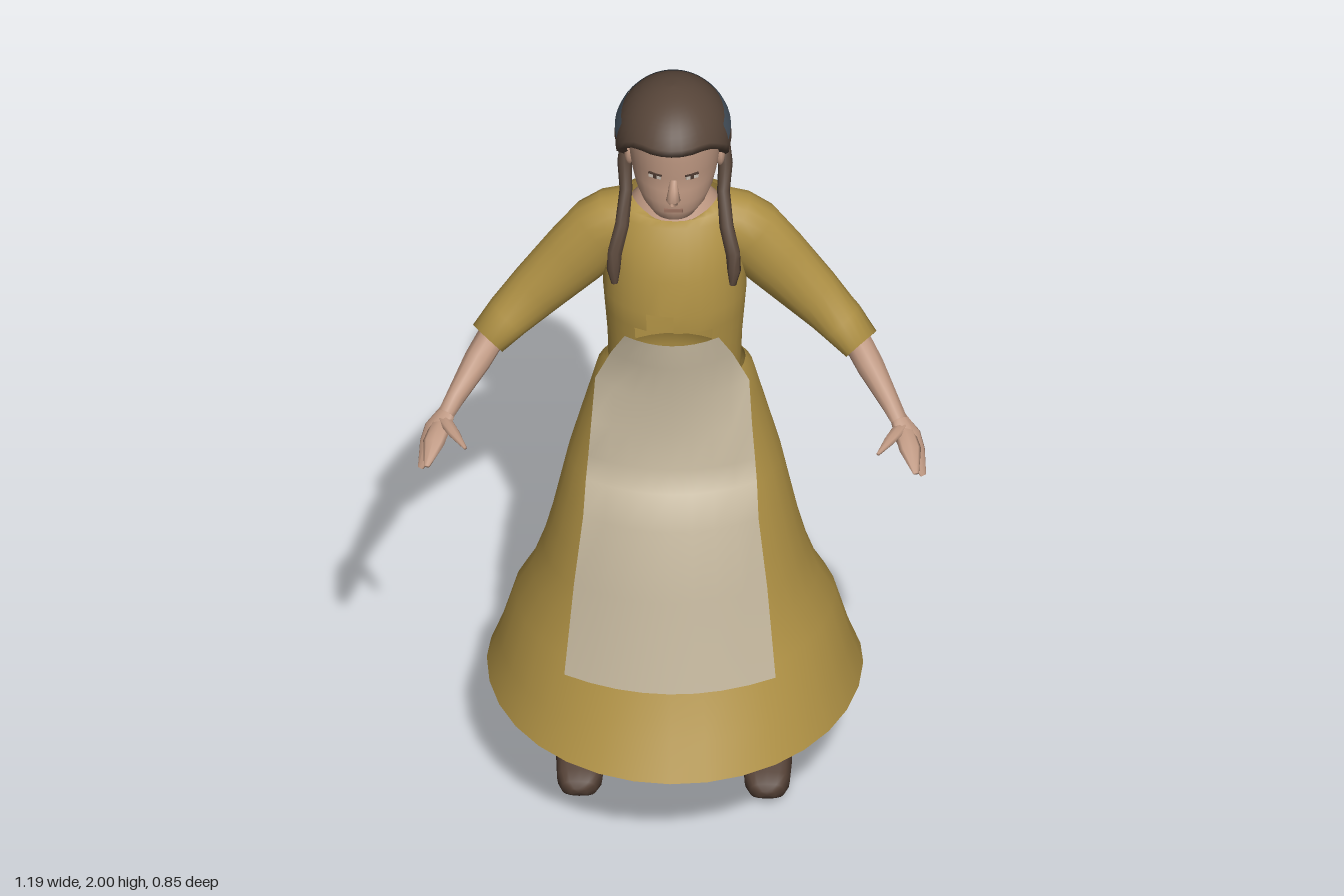
import * as THREE from 'three';

const mat = (name, color, side = THREE.FrontSide) => {
  const m = new THREE.MeshStandardMaterial({ color, side });
  m.name = name;
  return m;
};
const V = (x, y, z) => new THREE.Vector3(x, y, z);

// Smooth surface through a list of equal rings (or open rows) of points
function loft(rings, { closed = true, skip = () => false, caps = [] } = {}) {
  const n = rings[0].length, pos = [], idx = [];
  rings.forEach(r => r.forEach(p => pos.push(p.x, p.y, p.z)));
  for (let i = 0; i < rings.length - 1; i++) {
    for (let j = 0; j < (closed ? n : n - 1); j++) {
      if (skip(i, j)) continue;
      const k = (j + 1) % n;
      const a = i * n + j, b = i * n + k, c = a + n, d = b + n;
      idx.push(a, b, d, a, d, c);
    }
  }
  for (const end of caps) {
    const i = end === 'start' ? 0 : rings.length - 1;
    const c = rings[i].reduce((s, p) => s.add(p), V(0, 0, 0)).divideScalar(n);
    const m = pos.length / 3;
    pos.push(c.x, c.y, c.z);
    for (let j = 0; j < n; j++) {
      const a = i * n + j, b = i * n + (j + 1) % n;
      if (i) idx.push(a, b, m); else idx.push(b, a, m);
    }
  }
  const g = new THREE.BufferGeometry();
  g.setAttribute('position', new THREE.Float32BufferAttribute(pos, 3));
  g.setIndex(idx);
  g.computeVertexNormals();
  return g;
}

// Upright rings from rows of [y, half width, front z, back z, dip at front and back];
// shift moves the widest point towards the back
const COLS = 32;
const bodyRings = (rows, shift = 0) => rows.map(([y, rx, zf, zb, dip = 0]) => {
  const zm = (zf + zb) / 2 - shift * rx;
  return Array.from({ length: COLS }, (_, j) => {
    const a = j / COLS * Math.PI * 2, c = Math.cos(a);
    return V(rx * Math.sin(a), y - dip * c * c, zm + c * (c > 0 ? zf - zm : zm - zb));
  });
});

// Limb along stations of [x, y, z, side radius, other radius]; s mirrors it in x,
// a power below 1 makes the cross-section boxier
function limb(stations, s = 1, n = 12, power = 1, caps = ['start', 'end']) {
  const c = stations.map(p => V(p[0] * s, p[1], p[2]));
  const bend = w => Math.sign(w) * Math.abs(w) ** power;
  const rings = stations.map(([, , , r1, r2 = r1], i) => {
    const t = c[Math.min(i + 1, c.length - 1)].clone().sub(c[Math.max(i - 1, 0)]).normalize();
    const u = V(0, 1, 0).cross(t);
    if (u.length() < 0.05) u.set(1, 0, 0);
    u.normalize();
    const v = t.clone().cross(u);
    return Array.from({ length: n }, (_, j) => {
      const a = j / n * Math.PI * 2;
      return c[i].clone().addScaledVector(u, r1 * bend(Math.cos(a))).addScaledVector(v, r2 * bend(Math.sin(a)));
    });
  });
  return loft(rings, { caps });
}

export function createModel() {
  const model = new THREE.Group();
  const dress = mat('dress ochre', 0xae9044, THREE.DoubleSide);
  const linen = mat('apron linen', 0xc2b59c, THREE.DoubleSide);
  const skin = mat('skin', 0xbd9781);
  const hair = mat('hair brown', 0x574539, THREE.DoubleSide);
  const blue = mat('band blue', 0x47535f, THREE.DoubleSide);
  const leather = mat('shoe brown', 0x523f34);
  const dark = mat('eye dark', 0x4a382f);
  const white = mat('eye white', 0xc9bfb4);
  const lip = mat('lip', 0x98705f);
  const add = (name, geo, material) => {
    const m = new THREE.Mesh(geo, material);
    m.name = name;
    model.add(m);
    return m;
  };
  const fromFront = j => Math.min(j, COLS - 1 - j);

  // Skirt, open at the front behind the apron
  const skirtRows = [
    [0.277, 0.44, 0.43, -0.42], [0.36, 0.41, 0.38, -0.378], [0.48, 0.375, 0.31, -0.335],
    [0.56, 0.335, 0.278, -0.29], [0.64, 0.31, 0.25, -0.25], [0.72, 0.29, 0.225, -0.227],
    [0.82, 0.268, 0.2, -0.218], [0.9, 0.25, 0.17, -0.21], [1.0, 0.222, 0.14, -0.2],
    [1.1, 0.195, 0.125, -0.19], [1.15, 0.182, 0.115, -0.18], [1.18, 0.165, 0.1, -0.15]];
  add('skirt', loft(bodyRings(skirtRows, 0.12), {
    skip: (i, j) => (i >= 4 && fromFront(j) < (i >= 8 ? 4 : 3)) || (i === 3 && fromFront(j) < 2),
  }), dress);

  // Bodice, open under the apron and at the armholes, with a small gap above the apron
  const bodiceRows = [
    [1.17, 0.155, 0.09, -0.14], [1.27, 0.157, 0.1, -0.142], [1.36, 0.164, 0.11, -0.156],
    [1.41, 0.168, 0.112, -0.165], [1.5, 0.166, 0.1, -0.167], [1.57, 0.163, 0.075, -0.162],
    [1.62, 0.152, 0.045, -0.153], [1.645, 0.135, 0.035, -0.147, 0.01], [1.66, 0.104, 0.025, -0.137, 0.035]];
  add('bodice', loft(bodyRings(bodiceRows), {
    skip: (i, j) => (i < 2 && fromFront(j) < 3) || (i === 2 && j >= COLS - 2)
      || (i === 4 && fromFront(j) >= 7 && fromFront(j) <= 9),
  }), dress);

  // Apron: rows of [y, half width, centre z, edge z]
  const apronRows = [
    [0.479, 0.247, 0.348, 0.278], [0.7, 0.226, 0.29, 0.22], [0.88, 0.205, 0.25, 0.19],
    [0.95, 0.2, 0.195, 0.14], [1.0, 0.195, 0.165, 0.115], [1.1, 0.188, 0.155, 0.115],
    [1.19, 0.18, 0.145, 0.06], [1.29, 0.142, 0.155, 0.09], [1.36, 0.11, 0.157, 0.12]];
  add('apron', loft(apronRows.map(([y, w, zc, ze]) =>
    Array.from({ length: 9 }, (_, j) => {
      const u = j / 4 - 1;
      return V(w * u - 0.004, y, zc + (ze - zc) * u * u);
    })), { closed: false }), linen);

  // Neck and upper chest
  add('neck', loft(bodyRings([
    [1.615, 0.11, 0.035, -0.138], [1.635, 0.105, 0.026, -0.134], [1.658, 0.083, 0.012, -0.12],
    [1.685, 0.056, 0, -0.105], [1.76, 0.055, 0.01, -0.1]])), skin);

  // Head with nose and ears
  add('head', loft(bodyRings([
    [1.685, 0.03, 0.09, 0.03], [1.695, 0.053, 0.106, -0.01], [1.72, 0.076, 0.115, -0.06],
    [1.75, 0.091, 0.119, -0.1], [1.785, 0.1, 0.117, -0.125], [1.82, 0.106, 0.113, -0.14],
    [1.87, 0.11, 0.122, -0.145], [1.92, 0.105, 0.115, -0.14]]),
    { caps: ['start'] }), skin);
  add('nose', limb([
    [0, 1.815, 0.108, 0.009], [0, 1.79, 0.117, 0.012], [0, 1.768, 0.126, 0.017, 0.017],
    [0, 1.757, 0.12, 0.012]], 1, 10), skin);

  // Mouth plate on the face
  add('mouth', new THREE.BoxGeometry(0.044, 0.009, 0.008).translate(0, 1.73, 0.114), lip);

  // Hair cap: hem is high at the fringe and low at the back
  const hairPoint = (a, y, k = 1) => {
    const r = Math.sqrt(Math.max(0, 1 - ((y - 1.86) / 0.14) ** 2)) * k;
    const c = Math.cos(a);
    return V(0.137 * r * Math.sin(a) - 0.004, y, -0.013 + (c > 0 ? 0.168 : 0.157) * r * c);
  };
  const hairRings = [];
  for (let i = -1; i <= 12; i++) {
    const t = Math.max(i, 0) / 12;
    hairRings.push(Array.from({ length: COLS }, (_, j) => {
      const a = j / COLS * Math.PI * 2;
      const back = Math.min(a, Math.PI * 2 - a);
      const hem = 1.908 - 0.158 * THREE.MathUtils.smoothstep(back, 0.6, 2.15);
      const phi = Math.acos((hem - 1.86) / 0.14) * (1 - t);
      return hairPoint(a, 1.86 + 0.14 * Math.cos(phi), i < 0 ? 0.82 : 1);
    }));
  }
  add('hair', loft(hairRings), hair);

  // Head band around the back of the hair
  add('headBand', loft([-0.02, 0, 0.02].map(dy =>
    Array.from({ length: 25 }, (_, j) => {
      const a = (72 + j * 9) * Math.PI / 180;
      return hairPoint(a, 1.913 - 0.034 * Math.cos(a) + dy, 1.02);
    })), { closed: false }), blue);

  for (const s of [1, -1]) {
    const side = s > 0 ? 'left' : 'right';

    // Eyes and lashes
    const plate = (name, w, h, x, y, z, m) => {
      const p = add(side + name, new THREE.BoxGeometry(w, h, 0.006), m);
      p.position.set(s * x, y, z);
      p.rotation.y = s * 0.4;
    };
    plate('Eye', 0.03, 0.01, 0.043, 1.822, 0.103, white);
    plate('Pupil', 0.009, 0.009, 0.043, 1.822, 0.105, dark);
    plate('Lash', 0.034, 0.003, 0.043, 1.829, 0.105, dark);

    const ear = add(side + 'Ear', new THREE.SphereGeometry(1, 10, 8), skin);
    ear.scale.set(0.012, 0.032, 0.02);
    ear.position.set(s * 0.106, 1.8, -0.015);

    // Braid hanging over the shoulder
    add(side + 'Braid', limb([
      [0.113, 1.8, -0.06, 0.016], [0.118, 1.75, -0.045, 0.017], [0.114, 1.69, -0.015, 0.015],
      [0.122, 1.62, 0.03, 0.017], [0.138, 1.56, 0.058, 0.018], [0.141, 1.52, 0.07, 0.016],
      [0.138, 1.485, 0.08, 0.008]], s, 8), hair);

    // Arm: sleeve rising into the shoulder, forearm, forked flat hand and thumb
    add(side + 'Sleeve', limb([
      [0.095, 1.582, -0.058, 0.075, 0.073], [0.135, 1.567, -0.057, 0.076, 0.083],
      [0.17, 1.54, -0.056, 0.073, 0.089],
      [0.235, 1.465, -0.055, 0.067, 0.083], [0.32, 1.37, -0.048, 0.06, 0.07], [0.39, 1.3, -0.027, 0.057, 0.056],
      [0.437, 1.258, 0.005, 0.05, 0.042]], s, 18, 1, ['end']), dress);
    add(side + 'Forearm', limb([
      [0.425, 1.268, 0.002, 0.034], [0.46, 1.235, 0.06, 0.033], [0.51, 1.185, 0.14, 0.023],
      [0.53, 1.165, 0.175, 0.021, 0.016]], s, 10, 1, ['end']), skin);
    add(side + 'Hand', limb([
      [0.525, 1.17, 0.165, 0.02, 0.016], [0.55, 1.14, 0.2, 0.034, 0.015],
      [0.566, 1.11, 0.225, 0.03, 0.012], [0.588, 1.062, 0.25, 0.008, 0.004]], s, 10), skin);
    add(side + 'Fingers', limb([
      [0.54, 1.15, 0.19, 0.024, 0.014], [0.557, 1.13, 0.24, 0.026, 0.012],
      [0.572, 1.105, 0.3, 0.007, 0.004]], s, 8), skin);
    add(side + 'Thumb', limb([
      [0.535, 1.155, 0.185, 0.018, 0.014], [0.51, 1.15, 0.23, 0.014, 0.01],
      [0.482, 1.145, 0.28, 0.004]], s, 8), skin);

    // Shoe
    add(side + 'Shoe', limb([
      [0.218, 0.063, -0.112, 0.043, 0.052], [0.218, 0.061, -0.1, 0.05, 0.058],
      [0.218, 0.061, -0.03, 0.052, 0.06], [0.219, 0.052, 0.04, 0.057, 0.05],
      [0.219, 0.041, 0.11, 0.053, 0.034], [0.22, 0.036, 0.14, 0.04, 0.024],
      [0.22, 0.034, 0.152, 0.02, 0.012]], s, 16, 0.65), leather);
  }

  // Single ankle stub above the right shoe
  add('rightAnkle', new THREE.CylinderGeometry(0.021, 0.019, 0.09, 10)
    .scale(1, 1, 1.25).translate(-0.235, 0.138, -0.07), skin);

  return model;
}
